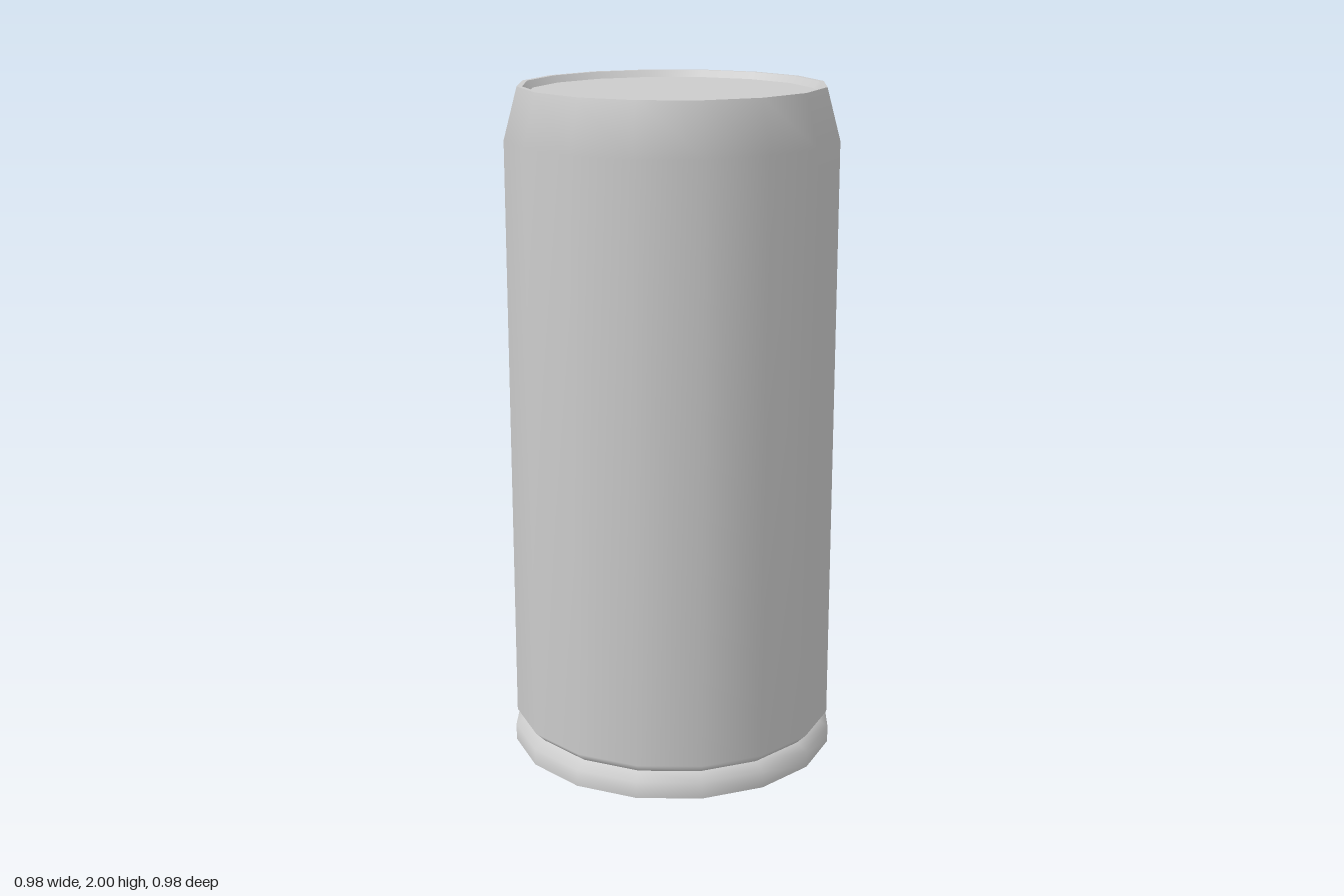
import * as THREE from 'three';

const SIDES = 16;
const material = new THREE.MeshStandardMaterial({ color: 0xcccccc });

// Revolve a [radius, height] profile; outer walls run upwards, undersides outwards
function turned(name, profile) {
  const points = profile.map(([r, y]) => new THREE.Vector2(r, y));
  const mesh = new THREE.Mesh(new THREE.LatheGeometry(points, SIDES), material);
  mesh.name = name;
  return mesh;
}

export function createModel() {
  const group = new THREE.Group();
  group.name = 'can';
  group.add(
    // Long wall with groove flare below and tapered shoulder above
    turned('body', [[0.455, 0.07], [0.485, 0.1], [0.485, 1.85], [0.445, 2]]),
    // Foot ring below the groove
    turned('baseRim', [[0.49, 0], [0.49, 0.05], [0.455, 0.07]]),
    // Shallow dished underside
    turned('baseSlope', [[0.37, 0.035], [0.49, 0]]),
    turned('baseDisc', [[0, 0.035], [0.37, 0.035]]),
    // Narrow lip around a slightly sunken lid
    turned('topLip', [[0.445, 2], [0.43, 2]]),
    turned('lipWall', [[0.43, 2], [0.415, 1.98]]),
    turned('lid', [[0.415, 1.98], [0, 1.98]]),
  );
  return group;
}
